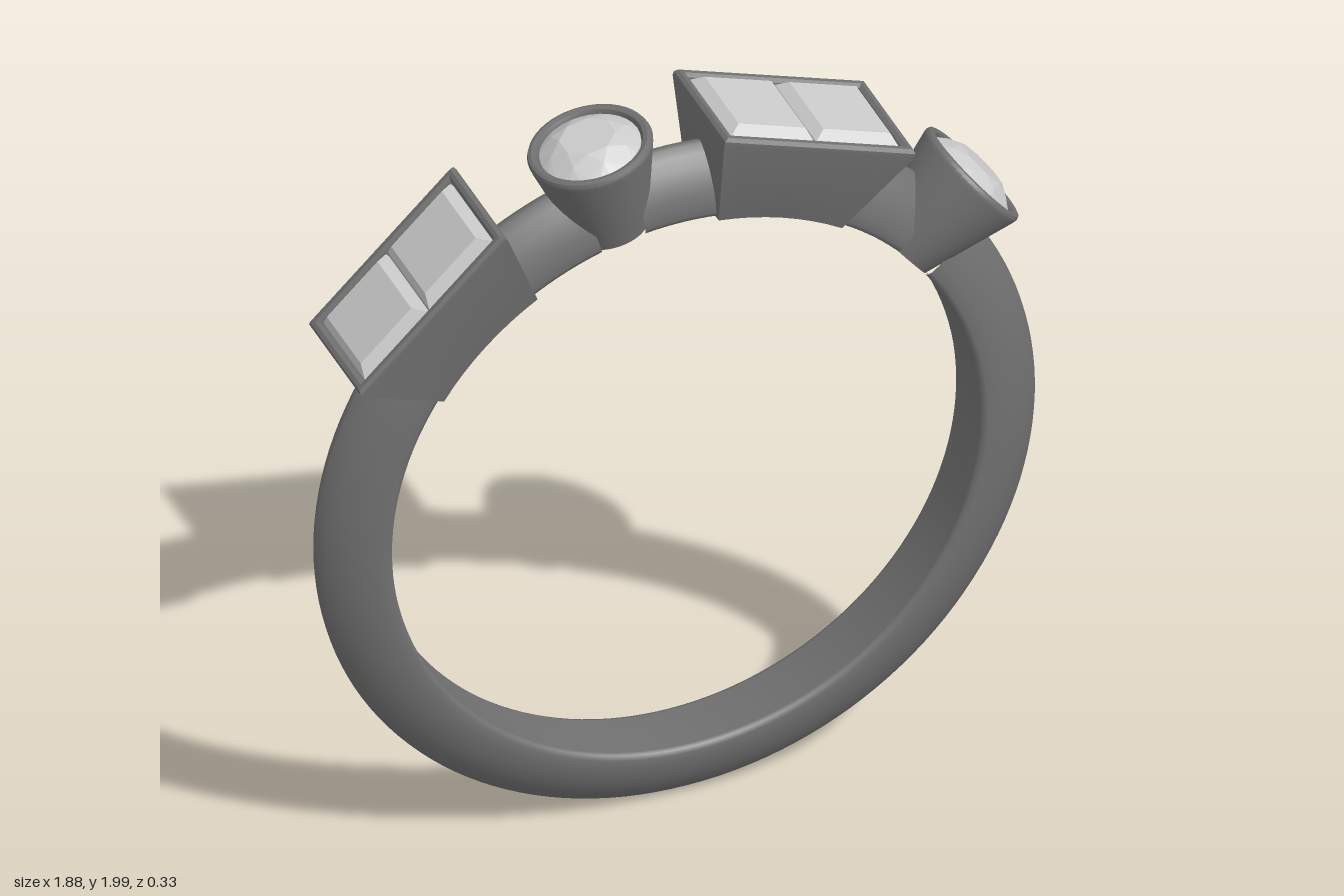
import * as THREE from 'three';
import { toCreasedNormals } from 'three/addons/utils/BufferGeometryUtils.js';
import { ConvexGeometry } from 'three/addons/geometries/ConvexGeometry.js';

const CENTRE = 0.945;  // height of the finger hole's centre
const BORE = 0.77;     // inner radius of the band
const metal = new THREE.MeshStandardMaterial({ color: 0x707070 });
const stone = new THREE.MeshStandardMaterial({ color: 0xcccccc });
const rad = THREE.MathUtils.degToRad;

// Settings, as degrees clockwise from the top, with the half gap cut in the band
const settings = [
  { type: 'box', angle: -44, gap: 9 },
  { type: 'round', angle: -12.5, gap: 4.3 },
  { type: 'box', angle: 18.3, gap: 9 },
  { type: 'round', angle: 50, gap: 4.3 },
];

// Without a height, a loop follows the curve of the finger hole
const level = (x, y) => y ?? Math.sqrt(BORE * BORE - x * x);

function roundLoop(r, y, n = 48) {
  return Array.from({ length: n }, (_, i) => {
    const a = (i / n) * Math.PI * 2;
    const x = r * Math.cos(a);
    return new THREE.Vector3(x, level(x, y), r * Math.sin(a));
  });
}

function boxLoop(hx, hz, y, n = 8) {
  const corners = [[hx, -hz], [hx, hz], [-hx, hz], [-hx, -hz]];
  const points = [];
  corners.forEach(([x0, z0], k) => {
    const [x1, z1] = corners[(k + 1) % 4];
    for (let i = 0; i < n; i++) {
      const x = x0 + (x1 - x0) * i / n;
      points.push(new THREE.Vector3(x, level(x, y), z0 + (z1 - z0) * i / n));
    }
  });
  return points;
}

// Skin a closed ring of loops: up the outside, over the rim, down the inside
function loft(loops, crease) {
  const n = loops[0].length;
  const index = [];
  loops.forEach((_, j) => {
    const lo = j * n, hi = ((j + 1) % loops.length) * n;
    for (let i = 0; i < n; i++) {
      const k = (i + 1) % n;
      index.push(lo + i, hi + i, lo + k, lo + k, hi + i, hi + k);
    }
  });
  const geometry = new THREE.BufferGeometry().setFromPoints(loops.flat());
  geometry.setIndex(index);
  return toCreasedNormals(geometry, crease);
}

function part(name, geometry, material) {
  const mesh = new THREE.Mesh(geometry, material);
  mesh.name = name;
  return mesh;
}

// Flat inside, rounded to a soft ridge outside
function bandProfile() {
  const half = [[0.94, 0.01], [0.925, 0.03], [0.9, 0.052], [0.87, 0.07], [0.84, 0.082],
    [0.81, 0.089], [0.785, 0.09], [0.773, 0.085], [BORE, 0.075]];
  const upper = half.map(([r, z]) => new THREE.Vector2(r, z));
  const lower = half.map(([r, z]) => new THREE.Vector2(r, -z)).reverse();
  return [...lower, new THREE.Vector2(0.942, 0), ...upper,
    new THREE.Vector2(BORE, 0), lower[0].clone()];
}

function boxSetting() {
  const group = new THREE.Group();
  group.name = 'boxSetting';
  group.add(part('boxCollet', loft([
    boxLoop(0.17, 0.103),
    boxLoop(0.262, 0.165, 0.995),
    boxLoop(0.262, 0.165, 1.006),
    boxLoop(0.255, 0.158, 1.015),
    boxLoop(0.244, 0.146, 1.015),
    boxLoop(0.236, 0.138, 1.006),
    boxLoop(0.234, 0.135, 0.985),
    boxLoop(0.1, 0.055, 0.91),
    boxLoop(0.1, 0.055),
  ], 0.4), metal));

  // Two step cut stones side by side
  const cut = new ConvexGeometry([
    ...boxLoop(0.114, 0.132, 0, 1), ...boxLoop(0.114, 0.132, 0.012, 1),
    ...boxLoop(0.092, 0.108, 0.036, 1), ...boxLoop(0.05, 0.05, -0.07, 1),
  ]);
  for (const side of [-1, 1]) {
    const gem = part('stepCutStone', cut, stone);
    gem.position.set(side * 0.117, 0.992, 0);
    group.add(gem);
  }
  return group;
}

function roundSetting() {
  const group = new THREE.Group();
  group.name = 'roundSetting';
  group.add(part('coneCollet', loft([
    roundLoop(0.092),
    roundLoop(0.154, 1.005),
    roundLoop(0.156, 1.016),
    roundLoop(0.152, 1.025),
    roundLoop(0.144, 1.028),
    roundLoop(0.133, 1.025),
    roundLoop(0.128, 1.015),
    roundLoop(0.126, 0.995),
    roundLoop(0.048, 0.92),
    roundLoop(0.048),
  ], 0.6), metal));

  // Brilliant cut stone with a low faceted crown
  const gem = part('roundStone', new ConvexGeometry([
    ...roundLoop(0.126, 0, 32),
    ...roundLoop(0.126, 0.006, 32),
    ...roundLoop(0.1, 0.027, 8),
    ...roundLoop(0.07, 0.042, 8).map((p) => p.applyAxisAngle(new THREE.Vector3(0, 1, 0), Math.PI / 8)),
    new THREE.Vector3(0, -0.1, 0),
  ]), stone);
  gem.position.y = 1.01;
  group.add(gem);
  return group;
}

export function createModel() {
  const ring = new THREE.Group();
  ring.name = 'ring';
  const body = new THREE.Group();
  body.name = 'ringBody';
  body.position.y = CENTRE;
  ring.add(body);

  settings.forEach((s, i) => {
    const setting = s.type === 'box' ? boxSetting() : roundSetting();
    setting.rotation.z = -rad(s.angle);
    body.add(setting);

    // Stretch of band from this setting to the next
    const next = settings[(i + 1) % settings.length];
    const start = s.angle + s.gap;
    let end = next.angle - next.gap;
    if (end < start) end += 360;
    const arc = new THREE.LatheGeometry(bandProfile(), Math.ceil((end - start) / 2.5),
      rad(start), rad(end - start));
    arc.rotateX(-Math.PI / 2);
    body.add(part('band', arc, metal));
  });
  return ring;
}
